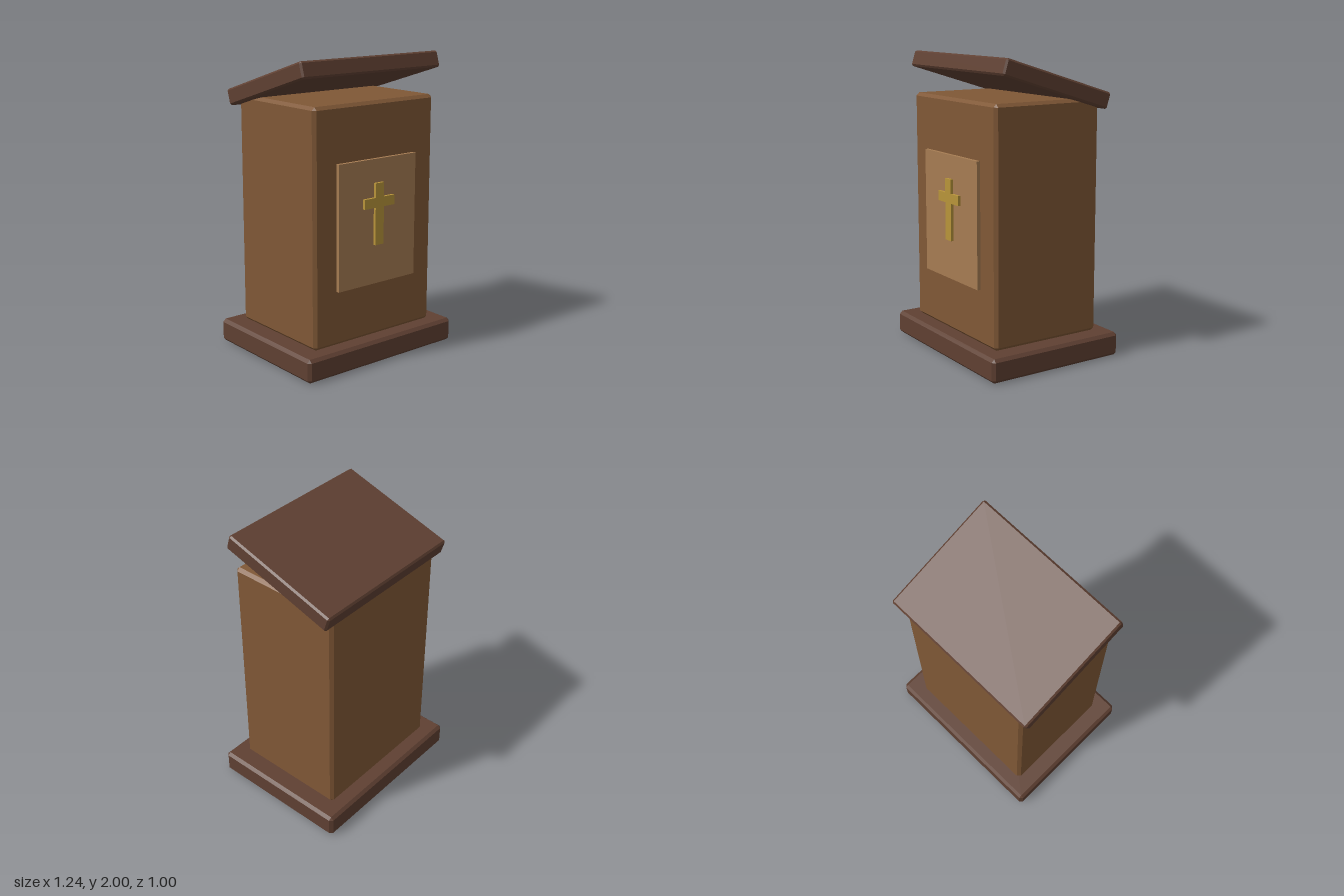
import * as THREE from 'three';
import { ConvexGeometry } from 'three/addons/geometries/ConvexGeometry.js';

const material = (name, color) => {
  const m = new THREE.MeshStandardMaterial({ color });
  m.name = name;
  return m;
};

// Box with every edge cut by a flat chamfer c
function chamferBox(w, h, d, c) {
  const points = [];
  for (const sx of [-1, 1]) for (const sy of [-1, 1]) for (const sz of [-1, 1]) {
    const x = w / 2, y = h / 2, z = d / 2;
    for (const [px, py, pz] of [[x, y - c, z - c], [x - c, y, z - c], [x - c, y - c, z]]) {
      points.push(new THREE.Vector3(sx * px, sy * py, sz * pz));
    }
  }
  return new ConvexGeometry(points);
}

export function createModel() {
  const group = new THREE.Group();
  group.name = 'lectern';
  const darkWood = material('dark wood', 0x5f4032);
  const wood = material('wood', 0x805836);
  const lightWood = material('light wood', 0xa67c52);
  const gold = material('gold', 0xb8943a);

  const add = (name, geometry, mat, x, y, z) => {
    const mesh = new THREE.Mesh(geometry, mat);
    mesh.name = name;
    mesh.position.set(x, y, z);
    group.add(mesh);
    return mesh;
  };

  // Plinth and cabinet
  add('base', chamferBox(1.244, 0.158, 0.996, 0.02), darkWood, 0, 0.079, 0);
  add('body', chamferBox(1, 1.564, 0.8, 0.021), wood, 0, 0.94, 0);

  // Slanted reading desk, high at the front
  const desk = add('readingDesk', chamferBox(1.142, 0.11, 0.839, 0.012), darkWood, 0, 1.827, -0.026);
  desk.rotation.x = -0.3;

  // Raised front panel
  add('frontPanel', new THREE.BoxGeometry(0.65, 0.83, 0.024), lightWood, 0, 0.94, 0.412);

  // Cross outline as one solid, mirrored about x = 0
  const half = [[0.035, 0.79], [0.035, 1.04], [0.125, 1.04], [0.125, 1.105], [0.035, 1.105], [0.035, 1.2]];
  const mirrored = half.map(([x, y]) => [-x, y]).reverse();
  const outline = new THREE.Shape([...half, ...mirrored].map(([x, y]) => new THREE.Vector2(x, y)));
  add('cross', new THREE.ExtrudeGeometry(outline, { depth: 0.02, bevelEnabled: false }), gold, 0, 0, 0.423);

  return group;
}
